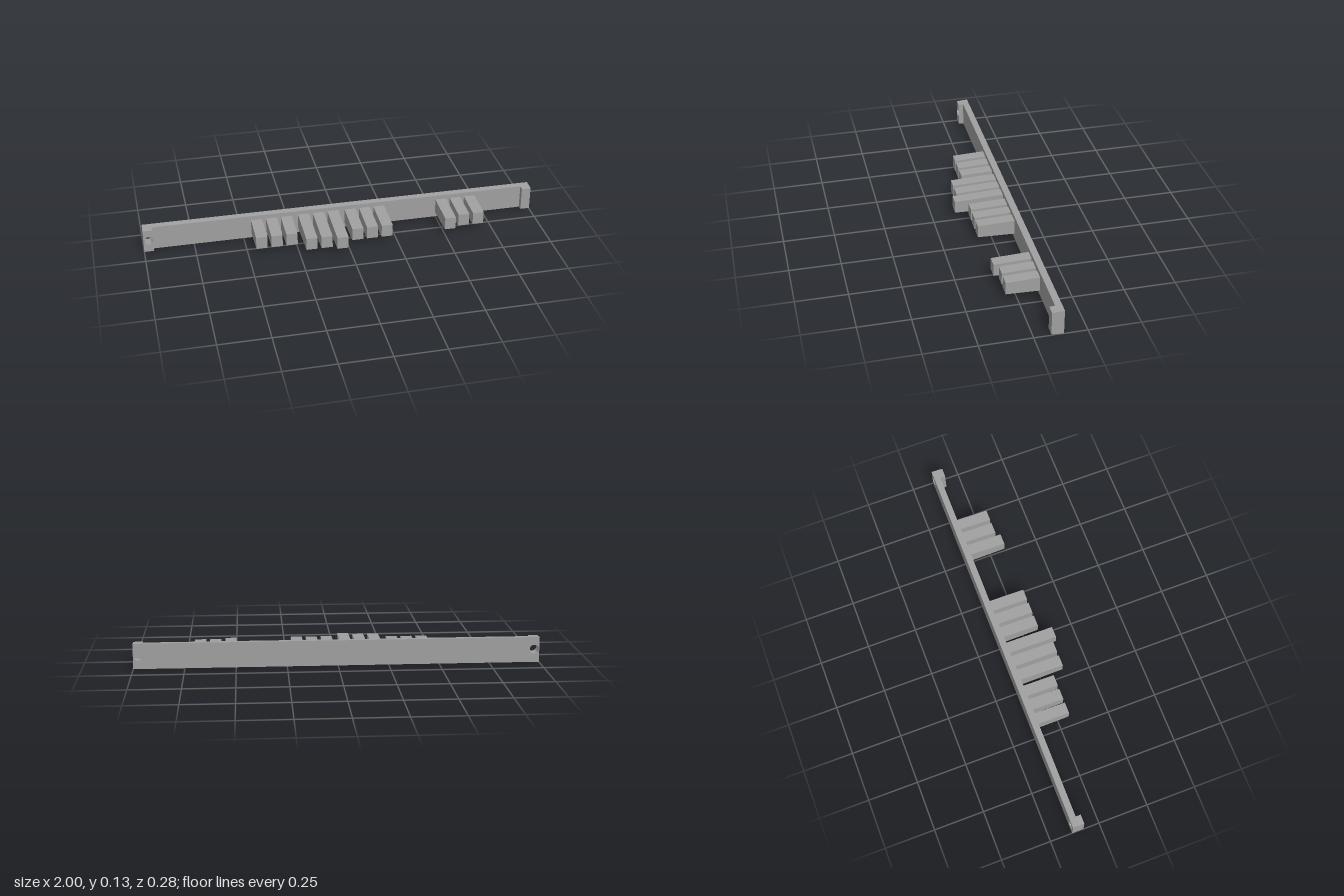
import * as THREE from 'three';
import { toCreasedNormals } from 'three/addons/utils/BufferGeometryUtils.js';

const BACK = -0.139, FACE = -0.107, TAB = -0.081;
const MID = 0.0635, HALF = 0.0635;

// Draft angle: shrink heights about the middle as z moves forward
function draft(geo, z0, slope, half) {
  const p = geo.attributes.position;
  for (let i = 0; i < p.count; i++) {
    const k = 1 - (slope * (p.getZ(i) - z0)) / half;
    p.setY(i, MID + (p.getY(i) - MID) * k);
  }
  geo.computeVertexNormals();
  return geo;
}

// Drafted slab from x0 to x1 with round screw holes
function slab(x0, x1, z0, z1, holes) {
  const s = new THREE.Shape();
  s.moveTo(x0, 0);
  s.lineTo(x1, 0);
  s.lineTo(x1, 2 * HALF);
  s.lineTo(x0, 2 * HALF);
  s.closePath();
  for (const x of holes) {
    const h = new THREE.Path();
    h.absarc(x, 0.065, 0.0225, 0, Math.PI * 2, true);
    s.holes.push(h);
  }
  const g = new THREE.ExtrudeGeometry(s, { depth: z1 - z0, bevelEnabled: false, curveSegments: 24 });
  g.translate(0, 0, z0);
  return toCreasedNormals(draft(g, BACK, 0.07, HALF), 0.6);
}

export function createModel() {
  const group = new THREE.Group();
  const grey = new THREE.MeshStandardMaterial({ name: 'grey', color: 0xa0a0a0 });
  const add = (name, geo) => {
    const m = new THREE.Mesh(geo, grey);
    m.name = name;
    group.add(m);
  };

  // Long back plate and the raised mounting tabs at its ends
  add('backPlate', slab(-1, 1, BACK, FACE, [-0.975, 0.975]));
  add('rightTab', slab(-1, -0.953, FACE, TAB, [-0.975]));
  add('leftTab', slab(0.953, 1, FACE, TAB, [0.975]));

  // Key blocks: [centre x, front z], all with the same tip height
  const keys = [
    [-0.432, 0.055], [-0.356, 0.055], [-0.281, 0.055],
    [-0.193, 0.116], [-0.117, 0.116], [-0.042, 0.139],
    [0.047, 0.076], [0.122, 0.076], [0.197, 0.076],
    [0.525, 0.076], [0.601, 0.055], [0.677, 0.055],
  ];
  const tip = 0.0315;
  for (const [x, z] of keys) {
    const g = new THREE.BoxGeometry(0.056, 2 * tip, z - FACE);
    g.translate(x, MID + 0.001, (z + FACE) / 2);
    add('keyBlock', draft(g, z, 0.036, tip));
  }
  return group;
}
